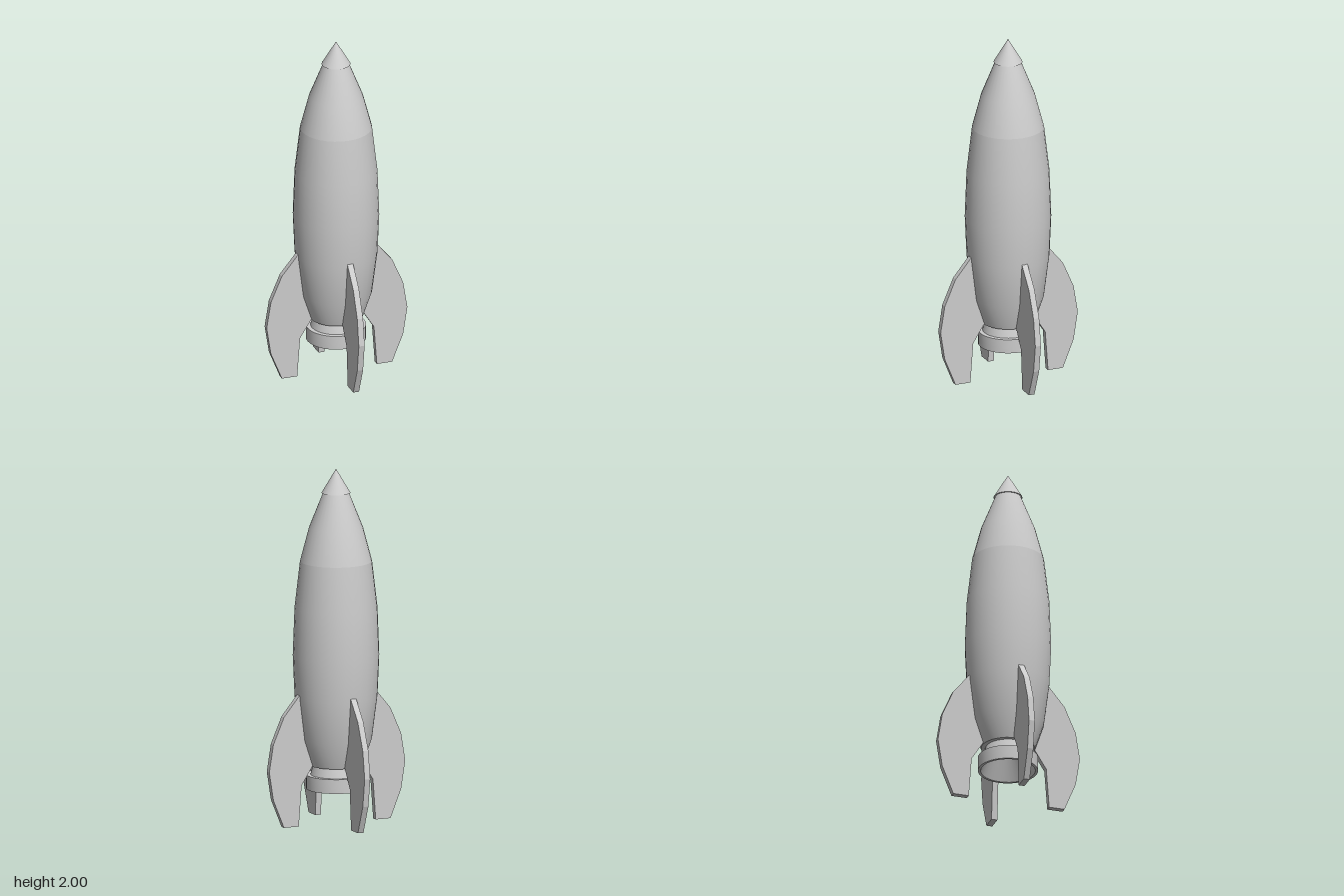
import * as THREE from 'three';
import { toCreasedNormals } from 'three/addons/utils/BufferGeometryUtils.js';

const SIDES = 32;
const material = new THREE.MeshStandardMaterial({ color: 0xcccccc });
const toPoints = (list) => list.map(([x, y]) => new THREE.Vector2(x, y));

function addPart(group, name, geometry) {
  const mesh = new THREE.Mesh(geometry, material);
  mesh.name = name;
  group.add(mesh);
  return mesh;
}

// Turned part: profile of [radius, height], outer side running upward
function turned(profile, crease = 0.6) {
  return toCreasedNormals(new THREE.LatheGeometry(toPoints(profile), SIDES), crease);
}

export function createModel() {
  const rocket = new THREE.Group();
  rocket.name = 'rocket';

  // Hull with closed bottom, and the tapering upper section
  addPart(rocket, 'hull', turned([
    [0, 0.33], [0.15, 0.33], [0.2, 0.48], [0.23, 0.72], [0.24, 0.95], [0.23, 1.22], [0.2, 1.48],
  ]));
  addPart(rocket, 'upperHull', turned([[0.2, 1.48], [0.15, 1.67], [0.07, 1.87]]));

  // Nose cone, slightly wider than the hull tip
  addPart(rocket, 'noseCone', turned([[0, 1.865], [0.08, 1.865], [0, 2]]));

  // Engine: hollow nozzle with a stepped ring and a sloping neck
  addPart(rocket, 'nozzle', turned([
    [0.1, 0.33], [0.152, 0.195], [0.167, 0.195], [0.167, 0.275],
    [0.142, 0.275], [0.125, 0.332],
  ], 0.3));

  // Four fins around the hull
  const thickness = 0.034;
  const finShape = new THREE.Shape(toPoints([
    [0.23, 0.74], [0.19, 0.5], [0.148, 0.34], [0.218, 0.23], [0.235, 0],
    [0.325, 0], [0.39, 0.16], [0.415, 0.32], [0.39, 0.475], [0.325, 0.625],
  ]));
  const finGeometry = new THREE.ExtrudeGeometry(finShape, { depth: thickness, bevelEnabled: false });
  finGeometry.translate(0, 0, -thickness / 2);
  ['leftFin', 'backFin', 'rightFin', 'frontFin'].forEach((name, i) => {
    addPart(rocket, name, finGeometry).rotation.y = (i * Math.PI) / 2;
  });

  return rocket;
}
